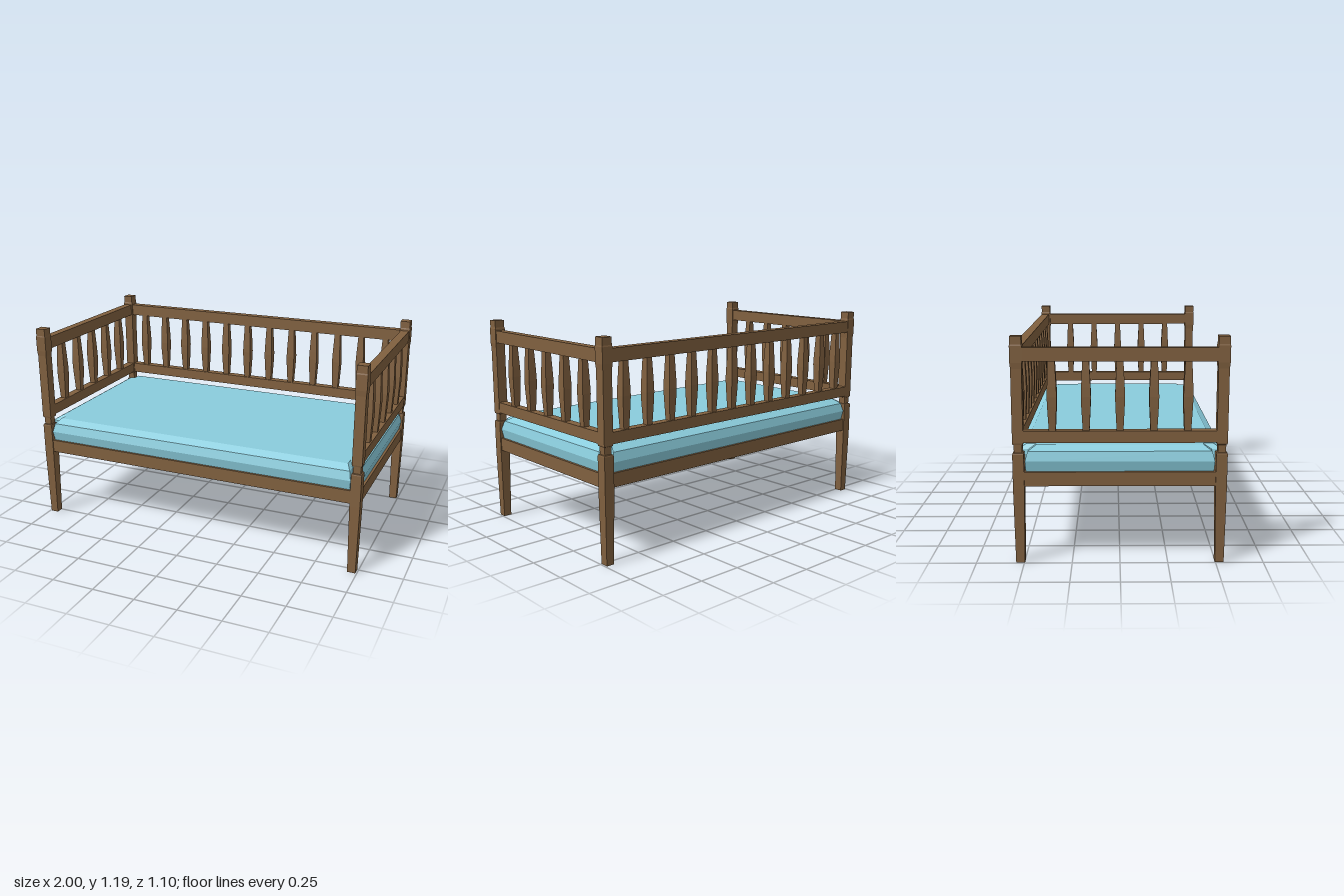
import * as THREE from 'three';

const wood = new THREE.MeshStandardMaterial({ color: 0x80603f, flatShading: true });
const fabric = new THREE.MeshStandardMaterial({ color: 0x8accdc, flatShading: true });

const POST_X = 0.969, POST_Z = 0.52;

// Square-section turned piece from [halfWidth, y] pairs, bottom to top
function squareTurned(profile) {
  const pts = profile.map(([r, y]) => new THREE.Vector2(r * Math.SQRT2, y));
  pts.unshift(new THREE.Vector2(0, profile[0][1]));
  pts.push(new THREE.Vector2(0, profile[profile.length - 1][1]));
  return new THREE.LatheGeometry(pts, 4, Math.PI / 4);
}

function add(parent, name, geometry, material, x = 0, y = 0, z = 0) {
  const mesh = new THREE.Mesh(geometry, material);
  mesh.name = name;
  mesh.position.set(x, y, z);
  parent.add(mesh);
  return mesh;
}

// Railing along x: two rails and evenly spaced spindles
function makeRailing(name, length, count, step, spindle) {
  const g = new THREE.Group();
  g.name = name;
  add(g, 'topRail', new THREE.BoxGeometry(length, 0.07, 0.05), wood, 0, 1.095, 0);
  add(g, 'lowerRail', new THREE.BoxGeometry(length, 0.062, 0.05), wood, 0, 0.675, 0);
  for (let i = 0; i < count; i++) {
    add(g, 'spindle', spindle, wood, (i - (count - 1) / 2) * step, 0, 0);
  }
  return g;
}

// Outline of the mattress with a notch at each corner for the post
function mattressOutline(x, z, nx, nz) {
  const corner = [[x, nz], [nx, nz], [nx, z]];
  const outline = [];
  for (const [sx, sz] of [[1, 1], [-1, 1], [-1, -1], [1, -1]]) {
    const pts = corner.map(([a, b]) => new THREE.Vector2(a * sx, b * sz));
    outline.push(...(sx * sz > 0 ? pts : pts.reverse()));
  }
  return outline;
}

// Stacked outlines joined by side faces and closed at both ends
function makeMattress() {
  const levels = [ // y, edge inset, notch inset in x, notch inset in z
    [0.488, 0.012, 0.004, 0.004],
    [0.545, 0, 0, 0],
    [0.595, 0.014, 0.01, 0.014],
    [0.62, 0.057, 0.032, 0.055],
  ];
  const rings = levels.map(([, e, dx, dz]) =>
    mattressOutline(0.99 - e, 0.542 - e, 0.937 - dx, 0.487 - dz));
  const n = rings[0].length, last = rings.length - 1;
  const positions = [], index = [];
  rings.forEach((ring, k) => ring.forEach((p) => positions.push(p.x, levels[k][0], p.y)));
  for (let k = 0; k < last; k++) {
    for (let i = 0; i < n; i++) {
      const a = k * n + i, b = k * n + (i + 1) % n;
      index.push(a, a + n, b, b, a + n, b + n);
    }
  }
  for (const [a, b, c] of THREE.ShapeUtils.triangulateShape(rings[last], [])) {
    index.push(last * n + a, last * n + c, last * n + b);
  }
  for (const [a, b, c] of THREE.ShapeUtils.triangulateShape(rings[0], [])) index.push(a, b, c);
  const geo = new THREE.BufferGeometry();
  geo.setAttribute('position', new THREE.Float32BufferAttribute(positions, 3));
  geo.setIndex(index);
  const flat = geo.toNonIndexed();
  flat.computeVertexNormals();
  return flat;
}

export function createModel() {
  const model = new THREE.Group();
  model.name = 'daybed';

  // Corner posts: tapered leg, narrow neck, upper post and flared cap
  const post = squareTurned([
    [0.023, 0], [0.029, 0.4], [0.029, 0.583], [0.027, 0.59], [0.021, 0.592],
    [0.021, 0.632], [0.026, 0.634], [0.028, 0.642], [0.028, 1.025],
    [0.031, 1.055], [0.031, 1.14], [0.029, 1.147], [0.029, 1.188],
  ]);
  for (const sx of [-1, 1]) {
    for (const sz of [-1, 1]) add(model, 'cornerPost', post, wood, sx * POST_X, 0, sz * POST_Z);
  }

  // Seat base and mattress
  add(model, 'seatBase', new THREE.BoxGeometry(1.985, 0.075, 1.088), wood, 0, 0.4525, 0);
  add(model, 'mattress', makeMattress(), fabric);

  // Back and side railings
  const spindle = squareTurned([
    [0.017, 0.7], [0.0235, 0.83], [0.025, 0.88], [0.0235, 0.93], [0.017, 1.065],
  ]);
  const back = makeRailing('backRailing', 1.9, 12, 0.1545, spindle);
  back.position.z = -0.523;
  model.add(back);
  for (const sx of [-1, 1]) {
    const side = makeRailing(sx > 0 ? 'leftRailing' : 'rightRailing', 1.0, 5, 0.172, spindle);
    side.rotation.y = Math.PI / 2;
    side.position.x = sx * 0.97;
    model.add(side);
  }
  return model;
}
